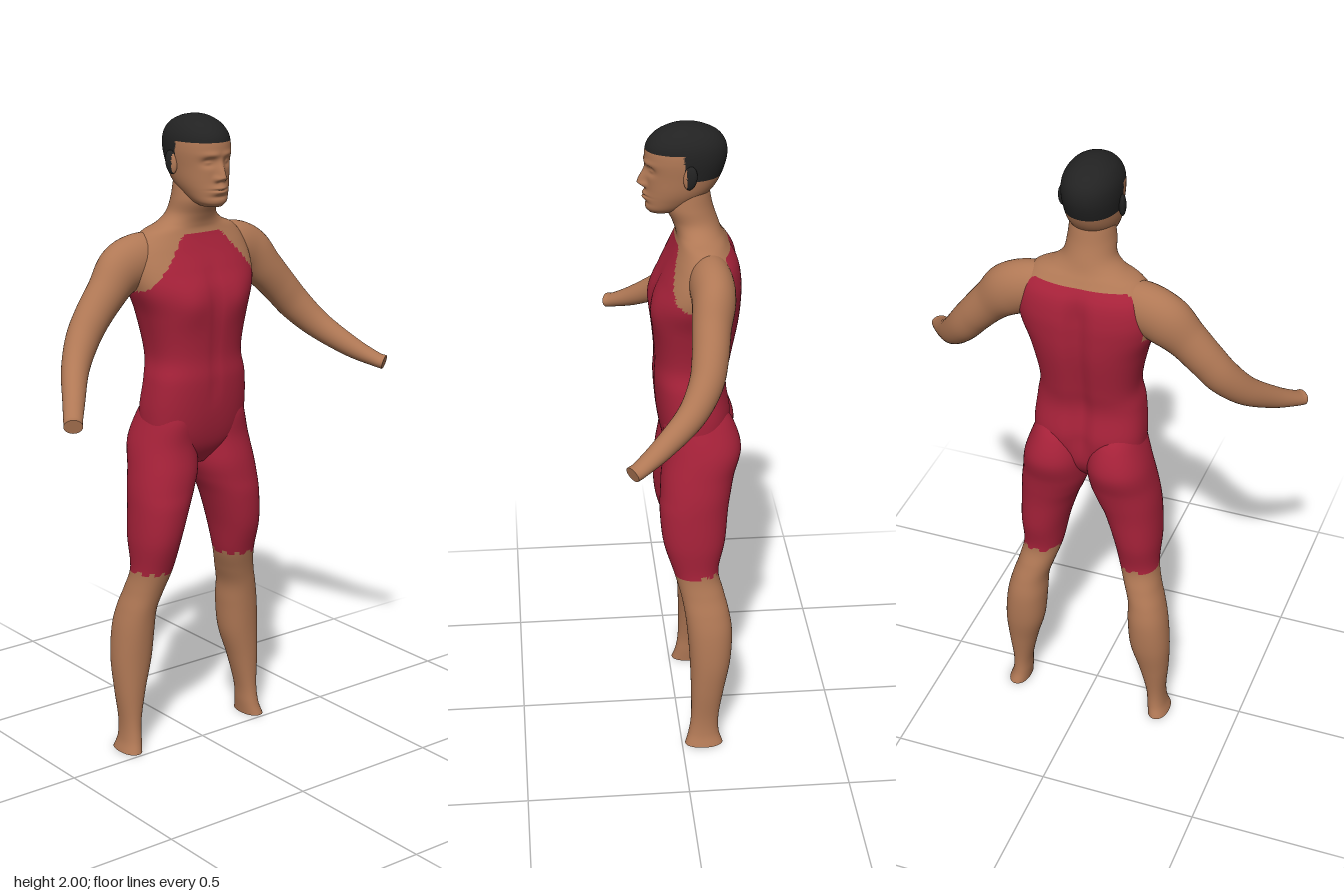
import * as THREE from 'three';

const skin = new THREE.MeshStandardMaterial({ color: 0xb07855 });
skin.name = 'skin';
const suit = new THREE.MeshStandardMaterial({ color: 0xa8223a });
suit.name = 'red suit';
const hair = new THREE.MeshStandardMaterial({ color: 0x222222 });
hair.name = 'black hair';

const bell = (d, s) => Math.exp(-(d * d) / (s * s));
const step = THREE.MathUtils.smoothstep;
const V = (x, y, z) => new THREE.Vector3(x, y, z);

// Smoothly resample a short table of cross-section rows
function resample(rows, n) {
  const curve = new THREE.CubicInterpolant(rows.map((r, i) => i), rows.flat(), rows[0].length);
  return Array.from({ length: n + 1 }, (_, i) =>
    Array.from(curve.evaluate((i / n) * (rows.length - 1))));
}

// Horizontal ring; k below 1 makes it boxier than an ellipse
function ring(y, x0, x1, zf, zb, k, count) {
  const pow = v => Math.sign(v) * Math.abs(v) ** k;
  return Array.from({ length: count }, (_, j) => {
    const a = (j / count) * Math.PI * 2;
    return V((x0 + x1) / 2 + (x1 - x0) / 2 * pow(Math.sin(a)), y,
      (zf + zb) / 2 + (zf - zb) / 2 * pow(Math.cos(a)));
  });
}

const mirrorRings = rings => rings.map(r => r.map(p => V(-p.x, p.y, p.z)).reverse());

// Skin a list of rings, with flat caps on both ends
function loft(rings) {
  const n = rings[0].length, index = [], points = rings.flat();
  for (let i = 0; i < rings.length - 1; i++) {
    for (let j = 0; j < n; j++) {
      const a = i * n + j, b = i * n + (j + 1) % n;
      index.push(a, b, b + n, a, b + n, a + n);
    }
  }
  [rings[0], rings[rings.length - 1]].forEach((r, end) => {
    const base = points.length;
    const mid = r.reduce((s, p) => s.add(p), V(0, 0, 0)).divideScalar(n);
    points.push(...r, mid);
    for (let j = 0; j < n; j++) {
      const a = base + j, b = base + (j + 1) % n;
      index.push(base + n, end ? a : b, end ? b : a);
    }
  });
  const geo = new THREE.BufferGeometry().setFromPoints(points);
  geo.setIndex(index);
  geo.computeVertexNormals();
  return geo;
}

// Sort faces into two material groups by the position of their centre
function paint(name, geo, base, second, rule) {
  const pos = geo.attributes.position, src = geo.index.array, sets = [[], []];
  for (let i = 0; i < src.length; i += 3) {
    const tri = [src[i], src[i + 1], src[i + 2]];
    const c = V(0, 0, 0);
    tri.forEach(t => c.add(V(pos.getX(t), pos.getY(t), pos.getZ(t))));
    sets[rule(c.divideScalar(3)) ? 1 : 0].push(...tri);
  }
  geo.setIndex(sets.flat());
  geo.addGroup(0, sets[0].length, 0);
  geo.addGroup(sets[0].length, sets[1].length, 1);
  const mesh = new THREE.Mesh(geo, [base, second]);
  mesh.name = name;
  return mesh;
}

// Torso and neck: y, half width, front z, back z
function makeTorso() {
  const rows = [
    [0.925, 0.04, -0.01, -0.09], [0.97, 0.115, 0.025, -0.13], [1.02, 0.165, 0.045, -0.15],
    [1.1, 0.174, 0.06, -0.165], [1.2, 0.165, 0.068, -0.152], [1.28, 0.153, 0.065, -0.165],
    [1.4, 0.176, 0.073, -0.187], [1.48, 0.205, 0.067, -0.193], [1.54, 0.213, 0.045, -0.192],
    [1.6, 0.2, 0.018, -0.18], [1.65, 0.165, 0.0, -0.15], [1.675, 0.112, 0.0, -0.136],
    [1.705, 0.08, 0.01, -0.125], [1.75, 0.072, 0.028, -0.11], [1.8, 0.066, 0.02, -0.1]];
  const rings = resample(rows, 110).map(([y, w, zf, zb]) => {
    const k = 0.8 + 0.2 * step(y, 1.6, 1.7);
    return ring(y, -w, w, zf, zb, k, 88).map(p => {
      if (p.z > (zf + zb) / 2) { // chest muscles and belly line
        p.z += 0.012 * bell(Math.abs(p.x) - 0.085, 0.06) * bell(y - 1.445, 0.06);
        p.z -= 0.005 * bell(p.x, 0.015) * step(y, 1.1, 1.2) * (1 - step(y, 1.5, 1.6));
      } else { // spine groove
        p.z += 0.022 * bell(p.x, 0.03) * step(y, 1.0, 1.1) * (1 - step(y, 1.52, 1.66));
      }
      return p;
    });
  });
  return paint('torso', loft(rings), skin, suit, ({ x, y, z }) => {
    if (y < 1.485) return true;
    if (z > -0.06) return y < 1.648 && Math.abs(x) < 0.07 + (1.645 - y) * 0.85;
    return y < 1.635 && z < -0.135;
  });
}

// Leg: y, inner x, outer x, front z, back z
function makeLeg(side) {
  const rows = [
    [0, 0.212, 0.28, -0.01, -0.13], [0.04, 0.208, 0.268, -0.022, -0.118],
    [0.1, 0.203, 0.265, -0.03, -0.118], [0.2, 0.18, 0.274, -0.03, -0.135],
    [0.3, 0.152, 0.278, -0.027, -0.155], [0.4, 0.143, 0.27, -0.02, -0.16],
    [0.47, 0.14, 0.255, -0.012, -0.15], [0.53, 0.122, 0.237, 0.0, -0.135],
    [0.6, 0.1, 0.224, 0.02, -0.12], [0.7, 0.08, 0.229, 0.05, -0.14],
    [0.8, 0.05, 0.226, 0.06, -0.15], [0.86, 0.025, 0.222, 0.057, -0.16],
    [0.92, 0.006, 0.213, 0.053, -0.172], [1.0, 0.004, 0.198, 0.042, -0.192],
    [1.08, 0.015, 0.172, 0.045, -0.17], [1.14, 0.03, 0.15, 0.03, -0.13]];
  const rings = resample(rows, 110).map(([y, x0, x1, zf, zb]) => ring(y, x0, x1, zf, zb, 0.93, 48));
  return paint(side > 0 ? 'leftLeg' : 'rightLeg', loft(side > 0 ? rings : mirrorRings(rings)), skin, suit,
    ({ x, y, z }) => y > 0.597 + 0.008 * Math.sin(x * 150 + z * 90));
}

// Arm: centre x, y, z, then upright and level radius
function makeArm(side) {
  const rows = resample([
    [0.09, 1.585, -0.085, 0.06, 0.05], [0.17, 1.575, -0.088, 0.078, 0.064],
    [0.24, 1.545, -0.09, 0.08, 0.064], [0.3, 1.488, -0.078, 0.064, 0.057],
    [0.36, 1.422, -0.068, 0.057, 0.053], [0.41, 1.36, -0.05, 0.053, 0.049],
    [0.467, 1.293, -0.002, 0.044, 0.041], [0.53, 1.23, 0.082, 0.033, 0.033],
    [0.578, 1.194, 0.148, 0.023, 0.028], [0.594, 1.186, 0.172, 0.022, 0.028]], 72);
  const path = rows.map(r => V(r[0], r[1], r[2]));
  const rings = rows.map(([, , , a, b], i) => {
    const t = path[Math.min(i + 1, 72)].clone().sub(path[Math.max(i - 1, 0)]).normalize();
    const up = V(0, 1, 0).addScaledVector(t, -t.y).normalize();
    const across = t.clone().cross(up);
    return Array.from({ length: 36 }, (_, j) => {
      const q = (j / 36) * Math.PI * 2;
      return path[i].clone().addScaledVector(up, a * Math.cos(q)).addScaledVector(across, b * Math.sin(q));
    });
  });
  const mesh = new THREE.Mesh(loft(side > 0 ? rings : mirrorRings(rings)), skin);
  mesh.name = side > 0 ? 'leftArm' : 'rightArm';
  return mesh;
}

// Head: y, half width, front z, back z, with the face raised by soft bumps
function makeHead() {
  const rows = [
    [1.735, 0.03, 0.078, 0.0], [1.75, 0.05, 0.088, -0.03], [1.78, 0.066, 0.088, -0.08],
    [1.81, 0.076, 0.086, -0.112], [1.85, 0.082, 0.086, -0.135], [1.9, 0.087, 0.09, -0.15],
    [1.94, 0.083, 0.084, -0.147], [1.97, 0.067, 0.06, -0.126], [1.989, 0.043, 0.025, -0.09],
    [1.997, 0.022, -0.003, -0.058], [2, 0.001, -0.03, -0.032]];
  const rings = resample(rows, 130).map(([y, w, zf, zb]) =>
    ring(y, -w, w, zf, zb, 0.95, 112).map(p => {
      const ax = Math.abs(p.x);
      if (p.z > 0.02) {
        const nose = step(y, 1.808, 1.824) * (1 - step(y, 1.822, 1.885));
        p.z += 0.026 * nose * bell(p.x, 0.013);
        p.z += 0.01 * bell(ax - 0.014, 0.008) * bell(y - 1.819, 0.009); // nostrils
        p.z -= 0.014 * bell(ax - 0.034, 0.018) * bell(y - 1.868, 0.013); // sockets
        p.z += 0.008 * bell(ax - 0.034, 0.011) * bell(y - 1.867, 0.006); // eyelids
        p.z += 0.005 * bell(ax - 0.03, 0.025) * bell(y - 1.89, 0.009); // brows
        p.z += 0.012 * bell(p.x, 0.024) * bell(y - 1.786, 0.014); // lips
        p.z -= 0.008 * bell(p.x, 0.026) * bell(y - 1.786, 0.0035);
        p.z -= 0.005 * bell(p.x, 0.03) * bell(y - 1.766, 0.007);
      }
      return p;
    }));
  return paint('head', loft(rings), skin, hair, ({ y, z }) =>
    y > 1.925 || (z < -0.02 && y > 1.847));
}

// Ear, with the hair covering its rear part
function makeEar(side) {
  const geo = new THREE.SphereGeometry(1, 24, 18);
  geo.scale(0.011, 0.036, 0.02).rotateX(-0.15).rotateY(side * -0.3);
  geo.translate(side * 0.089, 1.862, -0.036);
  return paint(side > 0 ? 'leftEar' : 'rightEar', geo, skin, hair, ({ z }) => z < -0.026);
}

export function createModel() {
  const model = new THREE.Group();
  model.name = 'figure';
  model.add(makeTorso(), makeHead());
  for (const side of [1, -1]) model.add(makeLeg(side), makeArm(side), makeEar(side));
  return model;
}
